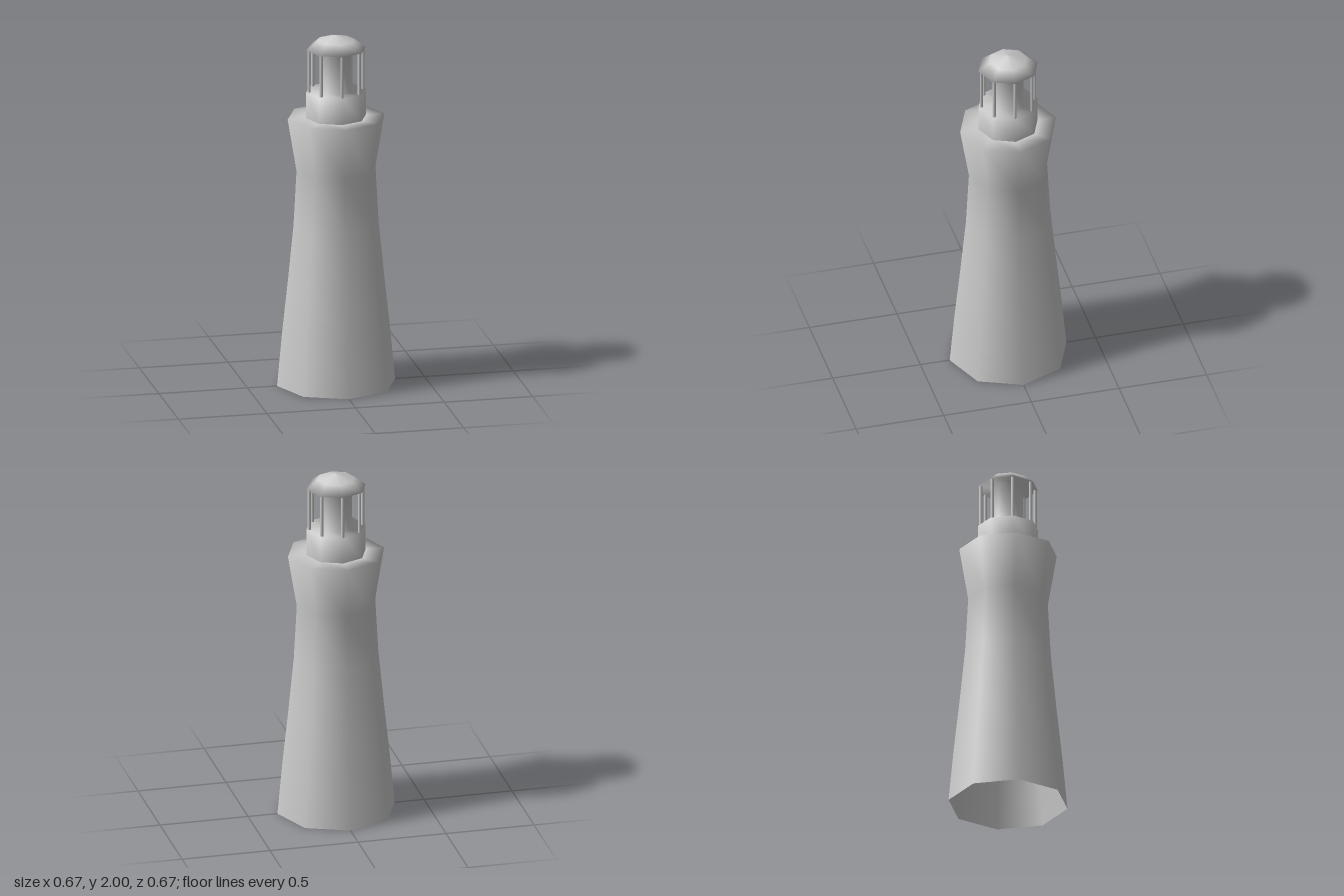
import * as THREE from 'three';

const SIDES = 8;
const material = new THREE.MeshStandardMaterial({ color: 0xcccccc, side: THREE.DoubleSide });

// Smooth eight-sided turned part from [radius, height] pairs, bottom to top
function turned(name, profile) {
  const points = profile.map(([r, y]) => new THREE.Vector2(r, y));
  const mesh = new THREE.Mesh(new THREE.LatheGeometry(points, SIDES), material);
  mesh.name = name;
  return mesh;
}

export function createModel() {
  const model = new THREE.Group();
  model.name = 'lighthouse';

  // Tapering tower, open below, flaring out to the gallery deck
  model.add(turned('tower', [
    [0.333, 0], [0.305, 0.3], [0.272, 0.6], [0.24, 0.92],
    [0.223, 1.23], [0.273, 1.53], [0.168, 1.53],
  ]));

  // Lantern base, inner lamp column and domed roof with its underside
  model.add(turned('lantern', [
    [0.168, 1.53], [0.168, 1.68], [0.088, 1.68], [0.088, 1.92],
    [0.168, 1.92], [0.105, 1.97], [0, 2],
  ]));

  // Thin posts carrying the roof, one at each corner
  const posts = new THREE.Group();
  posts.name = 'lanternPosts';
  const postGeometry = new THREE.CylinderGeometry(0.009, 0.009, 0.24, 8, 1, true);
  for (let i = 0; i < SIDES; i++) {
    const angle = (i / SIDES) * Math.PI * 2;
    const post = new THREE.Mesh(postGeometry, material);
    post.name = 'lanternPost';
    post.position.set(Math.sin(angle) * 0.152, 1.8, Math.cos(angle) * 0.152);
    posts.add(post);
  }
  model.add(posts);

  return model;
}
